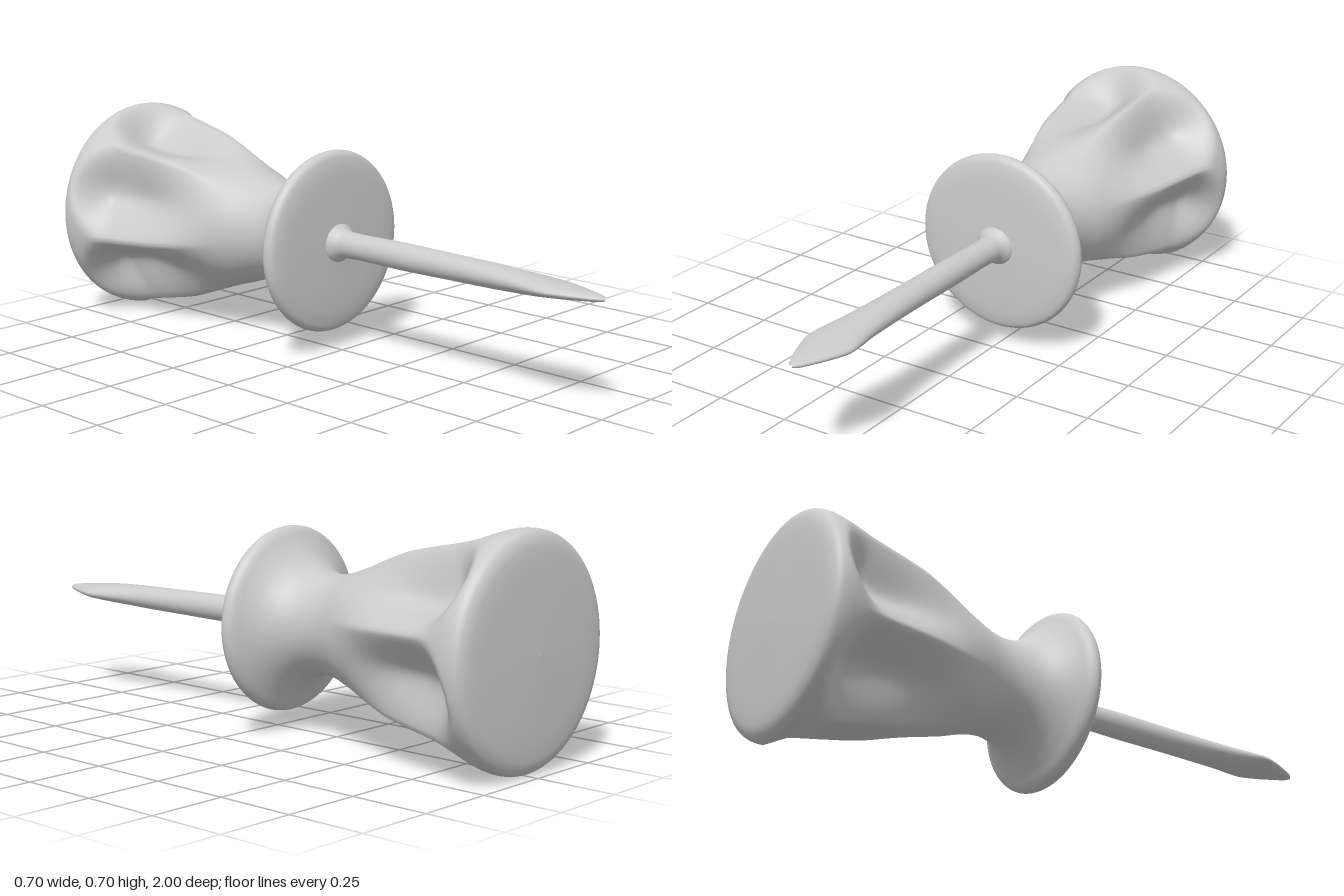
import * as THREE from 'three';

const AXIS_Y = 0.347;
const material = new THREE.MeshStandardMaterial({ color: 0xcccccc, roughness: 0.7 });

// Smooth curve through [z, a, b] rows, resampled to a given number of steps per row
function resample(rows, steps) {
  const pts = rows.map(([z, a, b = 0]) => new THREE.Vector3(z, a, b));
  return new THREE.CatmullRomCurve3(pts, false, 'centripetal').getPoints((rows.length - 1) * steps);
}

// Skin closed rings running from +z to -z; at(row, angle) gives each [x, y, z]
function loft(rows, sides, at) {
  const positions = [], index = [];
  rows.forEach((row, i) => {
    for (let j = 0; j < sides; j++) {
      positions.push(...at(row, (j / sides) * Math.PI * 2));
      if (i === rows.length - 1) continue;
      const a = i * sides + j, b = i * sides + ((j + 1) % sides);
      index.push(a, a + sides, b, b, a + sides, b + sides);
    }
  });
  const geometry = new THREE.BufferGeometry();
  geometry.setAttribute('position', new THREE.Float32BufferAttribute(positions, 3));
  geometry.setIndex(index);
  geometry.computeVertexNormals();
  return geometry;
}

function addPart(group, name, geometry) {
  const mesh = new THREE.Mesh(geometry, material);
  mesh.name = name;
  group.add(mesh);
  return mesh;
}

// Handle: flange, narrow neck and a flared grip with six scooped flutes
function handleGeometry() {
  const profile = resample([
    [-0.008, 0.001], [-0.012, 0.1], [-0.016, 0.2], [-0.022, 0.255], [-0.032, 0.283],
    [-0.05, 0.292], [-0.07, 0.283], [-0.095, 0.245], [-0.125, 0.207], [-0.17, 0.173],
    [-0.23, 0.157], [-0.3, 0.163], [-0.4, 0.197], [-0.5, 0.24], [-0.6, 0.278],
    [-0.7, 0.302], [-0.8, 0.323], [-0.88, 0.342], [-0.935, 0.35], [-0.965, 0.343],
    [-0.98, 0.322], [-0.988, 0.28], [-0.995, 0.15], [-1, 0.001],
  ], 5);
  const ridge = THREE.MathUtils.degToRad(12);
  return loft(profile, 144, (p, angle) => {
    const z = p.x;
    // s is 0 on a ridge and 1 in the middle of a flute
    const s = Math.abs(Math.sin(3 * (angle - ridge)));
    const start = THREE.MathUtils.smoothstep(-z, 0.36, 0.78);
    const end = 0.945 - 0.07 * (1 - s);
    const stop = 1 - THREE.MathUtils.smoothstep(-z, end - 0.1, end);
    const r = p.y - 0.105 * start * stop * Math.pow(s, 1.1);
    return [r * Math.cos(angle), r * Math.sin(angle), z];
  });
}

// Shaft: round rod with a small base fillet, flattening into a pointed blade
function shaftGeometry() {
  const rows = resample([
    [1, 0.004, 0.004], [0.985, 0.018, 0.009], [0.94, 0.04, 0.014], [0.88, 0.064, 0.019],
    [0.83, 0.077, 0.023], [0.78, 0.073, 0.028], [0.7, 0.061, 0.033], [0.6, 0.053, 0.037],
    [0.45, 0.046, 0.04], [0.25, 0.043, 0.043], [0.03, 0.043, 0.043],
    [0.008, 0.05, 0.05], [-0.012, 0.066, 0.062], [-0.03, 0.066, 0.062],
  ], 3);
  return loft(rows, 32, (p, angle) => [p.y * Math.cos(angle), p.z * Math.sin(angle), p.x]);
}

export function createModel() {
  const group = new THREE.Group();
  group.name = 'stubbyScrewdriver';
  addPart(group, 'handle', handleGeometry());
  const shaft = addPart(group, 'shaftAndBlade', shaftGeometry());
  shaft.rotation.z = -0.06;
  group.children.forEach((part) => { part.position.y = AXIS_Y; });
  return group;
}
